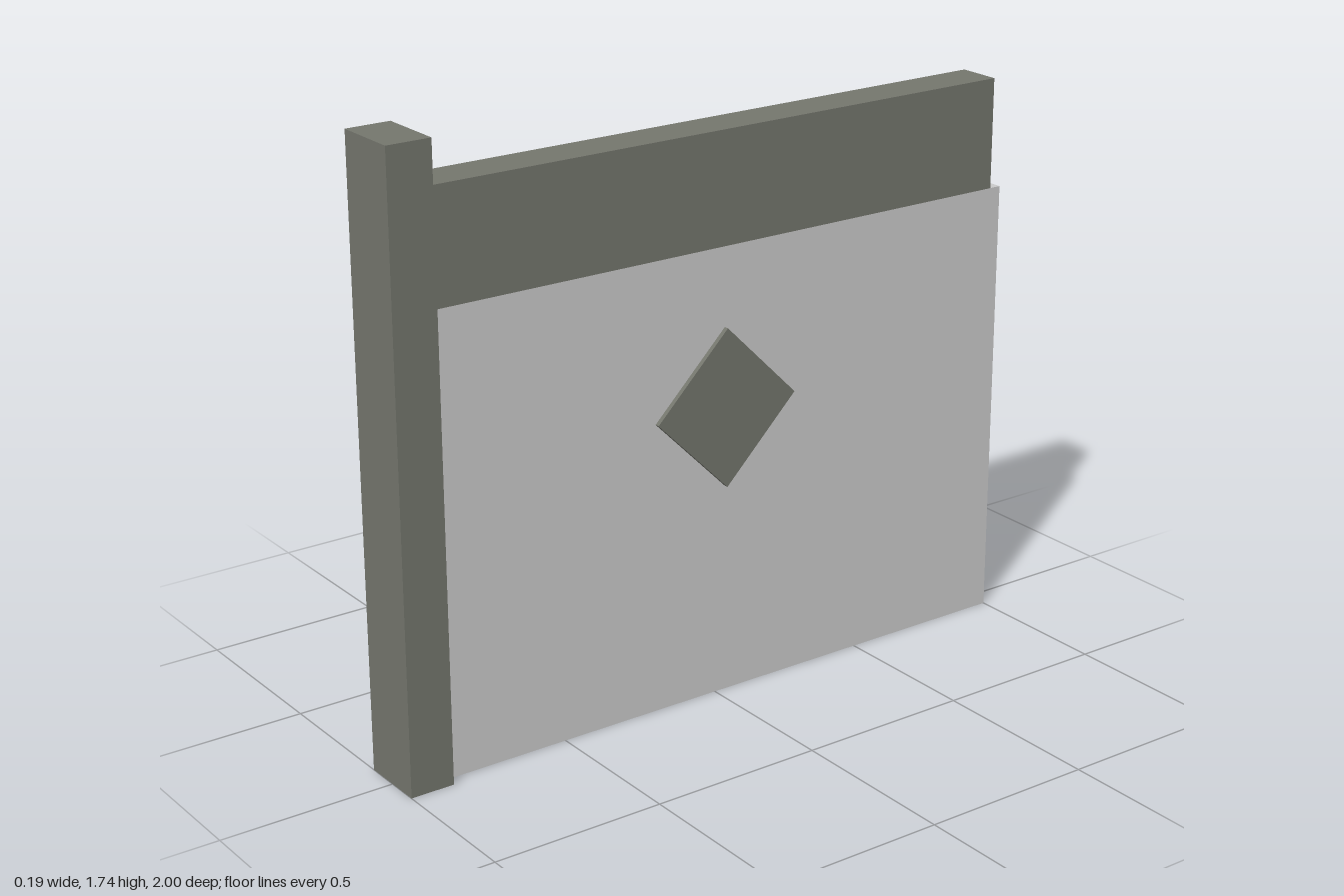
import * as THREE from 'three';

export function createModel() {
  const model = new THREE.Group();
  const darkGrey = new THREE.MeshStandardMaterial({ color: 0x74766d });
  darkGrey.name = 'dark grey';
  const lightGrey = new THREE.MeshStandardMaterial({ color: 0xcacaca });
  lightGrey.name = 'light grey';

  // Box centred on x, given its width and its y and z ranges
  function addBox(name, material, width, [y0, y1], [z0, z1]) {
    const mesh = new THREE.Mesh(new THREE.BoxGeometry(width, y1 - y0, z1 - z0), material);
    mesh.position.set(0, (y0 + y1) / 2, (z0 + z1) / 2);
    mesh.name = name;
    model.add(mesh);
    return mesh;
  }

  // Tall post along the front edge
  addBox('frontPost', darkGrey, 0.194, [0, 1.742], [0.872, 1]);

  // Light slab and the dark beam resting on it
  addBox('panel', lightGrey, 0.126, [0, 1.295], [-1, 0.872]);
  addBox('topBeam', darkGrey, 0.126, [1.295, 1.613], [-0.965, 0.872]);

  // Square block turned on its corner, standing proud of both sides
  const half = 0.228 / Math.SQRT2;
  const diamond = addBox('diamond', darkGrey, 0.154, [0.842 - half, 0.842 + half], [-0.031 - half, -0.031 + half]);
  diamond.rotation.x = Math.PI / 4;

  return model;
}
